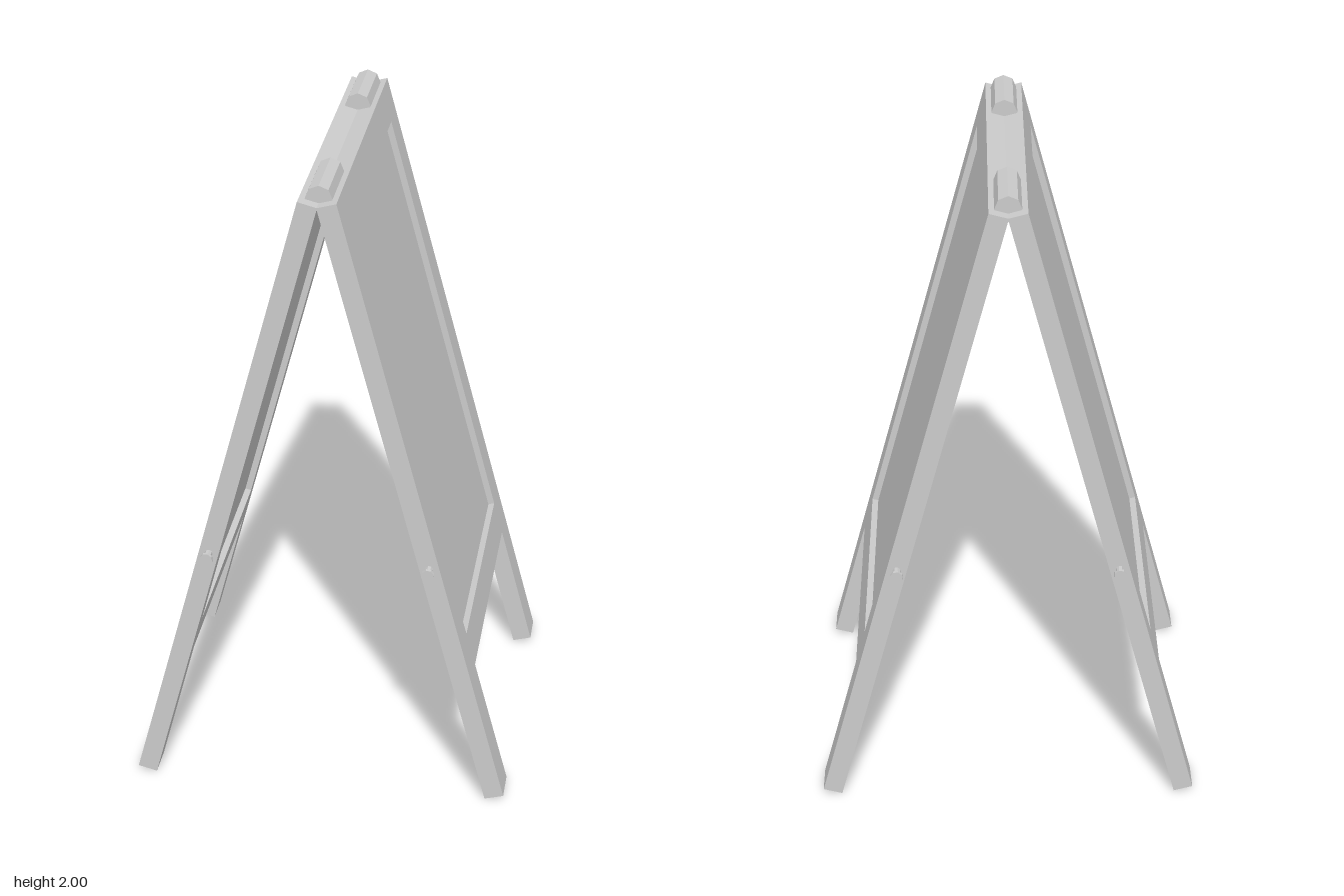
import * as THREE from 'three';

const TILT = THREE.MathUtils.degToRad(15);
const LENGTH = 2.015, THICK = 0.06;
const HALF_WIDTH = 0.533, INNER = 0.425; // outer edge and inner edge of the legs
const RAIL = 0.417, OPEN_LOW = 0.528, OPEN_HIGH = 1.907;

const material = new THREE.MeshStandardMaterial({ color: 0xcccccc, flatShading: true });

function addMesh(parent, name, geometry, x = 0, y = 0, z = 0) {
  const mesh = new THREE.Mesh(geometry, material);
  mesh.name = name;
  mesh.position.set(x, y, z);
  parent.add(mesh);
  return mesh;
}

const points = (list) => list.map(([x, y]) => new THREE.Vector2(x, y));

// Octagonal bar lying along z
const bar = (radius, length) => new THREE.CylinderGeometry(radius, radius, length, 8).rotateX(Math.PI / 2);

// Frame with two legs and a window, extruded through its thickness
function frameGeometry() {
  const w = HALF_WIDTH, i = INNER;
  const shape = new THREE.Shape(points([
    [-w, 0], [-i, 0], [-i, RAIL], [i, RAIL], [i, 0], [w, 0], [w, LENGTH], [-w, LENGTH],
  ]));
  shape.holes.push(new THREE.Path(points([
    [-i, OPEN_LOW], [-i, OPEN_HIGH], [i, OPEN_HIGH], [i, OPEN_LOW],
  ])));
  return new THREE.ExtrudeGeometry(shape, { depth: THICK, bevelEnabled: false }).rotateY(Math.PI / 2);
}

// One leaning side; its inner face is local x = 0
function createSide(name) {
  const side = new THREE.Group();
  side.name = name;
  const leaf = new THREE.Group();
  leaf.name = 'leaningPanel';
  leaf.position.x = 0.52;
  leaf.rotation.z = TILT;
  side.add(leaf);

  addMesh(leaf, 'frame', frameGeometry());

  // Board recessed on both faces
  const board = new THREE.BoxGeometry(0.02, OPEN_HIGH - OPEN_LOW, INNER * 2);
  addMesh(leaf, 'board', board, THICK / 2, (OPEN_HIGH + OPEN_LOW) / 2);

  // Pegs on both edges
  for (const s of [-1, 1]) {
    addMesh(leaf, 'pegShaft', bar(0.012, 0.05), THICK / 2, 0.825, s * 0.545);
    addMesh(leaf, 'pegHead', bar(0.02, 0.01), THICK / 2, 0.825, s * 0.571);
  }
  return side;
}

export function createModel() {
  const model = new THREE.Group();
  model.name = 'sandwichBoard';

  const left = createSide('leftSide');
  const right = createSide('rightSide');
  right.rotation.y = Math.PI;
  model.add(left, right);

  // Hinge barrels along the top
  for (const s of [-1, 1]) addMesh(model, 'hinge', bar(0.04, 0.222), 0, 1.96, s * 0.385);

  return model;
}
